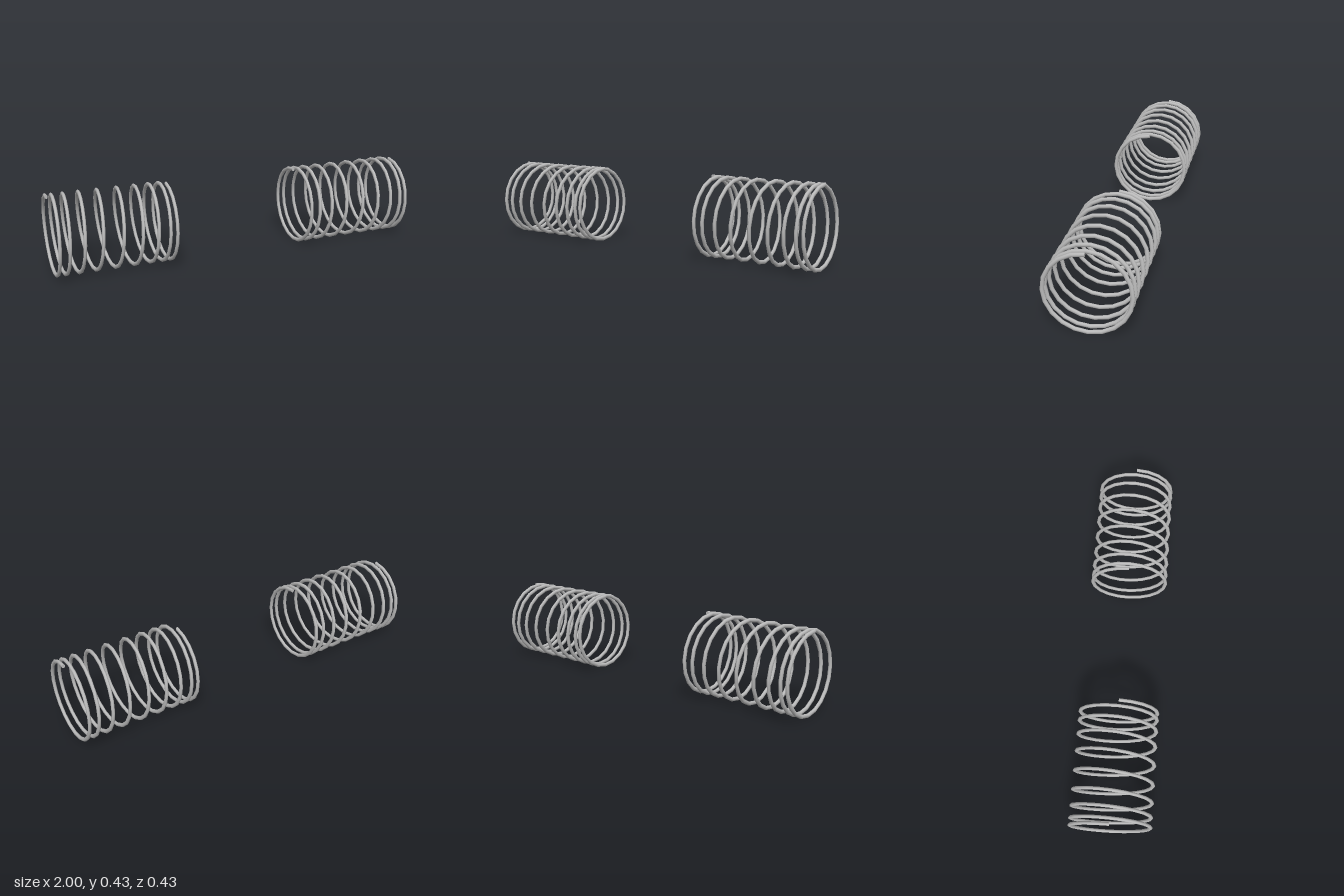
import * as THREE from 'three';

const TURNS = 9, SEGMENTS_PER_TURN = 20, SIDES = 10;
const COIL_RADIUS = 0.206, WIRE_RADIUS = 0.0105, CENTRE_Y = 0.2165;
const LENGTH = 0.621;
const FLATTEN = 0.82; // the wire is slightly oval, thinner along the spring's axis

// Helix along x, tightly wound at both ends and open in the middle.
// It is drawn longer by 1 / FLATTEN, and the round wire is then pressed flat.
class CoilCurve extends THREE.Curve {
  getPoint(t, target = new THREE.Vector3()) {
    const ease = (s) => 0.21 * s + 2.08 * s * s - s * s * s;
    const f = t < 0.5 ? ease(t) : 1 - ease(1 - t);
    const a = t * TURNS * Math.PI * 2;
    return target.set((f - 0.5) * LENGTH / FLATTEN, COIL_RADIUS * Math.cos(a), -COIL_RADIUS * Math.sin(a));
  }
  // Even steps in angle, so every turn has the same corners.
  getUtoTmapping(u) {
    return u;
  }
}

function createSpring(name, x, steel) {
  const spring = new THREE.Group();
  spring.name = name;
  const curve = new CoilCurve();
  const addPart = (partName, geometry) => {
    const part = new THREE.Mesh(geometry.scale(FLATTEN, 1, 1), steel);
    part.name = partName;
    spring.add(part);
  };

  addPart('coilWire',
    new THREE.TubeGeometry(curve, TURNS * SEGMENTS_PER_TURN, WIRE_RADIUS, SIDES, false));

  // Flat cut ends of the wire
  for (const t of [0, 1]) {
    const end = curve.getPoint(t);
    const outward = curve.getTangent(t).multiplyScalar(t === 0 ? -1 : 1);
    const turn = new THREE.Quaternion().setFromUnitVectors(new THREE.Vector3(0, 0, 1), outward);
    const cap = new THREE.CircleGeometry(WIRE_RADIUS, SIDES);
    addPart(t === 0 ? 'startCap' : 'endCap', cap.applyQuaternion(turn).translate(end.x, end.y, end.z));
  }

  spring.position.set(x, CENTRE_Y, 0);
  return spring;
}

export function createModel() {
  const model = new THREE.Group();
  model.name = 'springPair';
  const steel = new THREE.MeshStandardMaterial({ color: 0xbababa });
  steel.name = 'steelGrey';
  model.add(createSpring('leftSpring', 0.681, steel));
  model.add(createSpring('rightSpring', -0.681, steel));
  return model;
}
